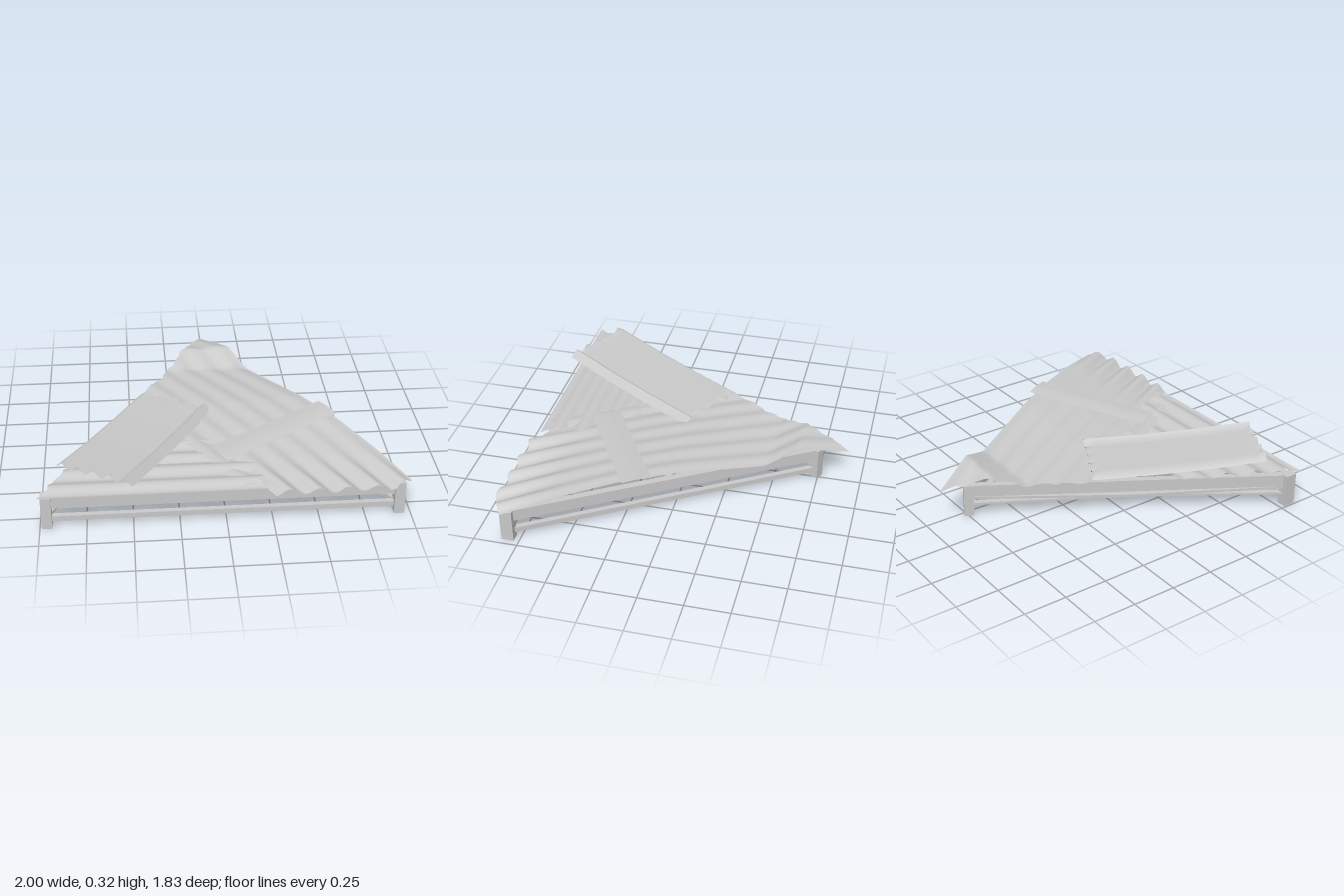
import * as THREE from 'three';

const metal = new THREE.MeshStandardMaterial({ color: 0xc8c8c8, side: THREE.DoubleSide });
metal.name = 'weatheredGrey';

const { lerp, smoothstep } = THREE.MathUtils;

// Piecewise-linear profile through [position, value] pairs
function profile(points, x) {
  if (x <= points[0][0]) return points[0][1];
  for (let i = 1; i < points.length; i++) {
    const [x0, y0] = points[i - 1], [x1, y1] = points[i];
    if (x <= x1) return lerp(y0, y1, (x - x0) / (x1 - x0));
  }
  return points[points.length - 1][1];
}

// Irregular torn edge offset
const torn = (s, size) => size * (Math.sin(s * 41) + 0.6 * Math.sin(s * 87 + 1) + 0.4 * Math.sin(s * 23 + 2));

// Thin sheet from a rule place(u, v) -> [x, y, z]
function sheet(name, nu, nv, place) {
  const pos = [], index = [];
  for (let i = 0; i <= nu; i++) {
    for (let j = 0; j <= nv; j++) {
      pos.push(...place(i / nu, j / nv));
      if (i < nu && j < nv) {
        const a = i * (nv + 1) + j, b = a + nv + 1;
        index.push(a, a + 1, b, b, a + 1, b + 1);
      }
    }
  }
  const geo = new THREE.BufferGeometry();
  geo.setAttribute('position', new THREE.Float32BufferAttribute(pos, 3));
  geo.setIndex(index);
  geo.computeVertexNormals();
  const mesh = new THREE.Mesh(geo, metal);
  mesh.name = name;
  return mesh;
}

// Straight timber between two points
function timber(name, from, to, height, depth) {
  const a = new THREE.Vector3(...from), b = new THREE.Vector3(...to);
  const mesh = new THREE.Mesh(new THREE.BoxGeometry(depth, height, a.distanceTo(b)), metal);
  mesh.position.copy(a).lerp(b, 0.5);
  mesh.lookAt(b);
  mesh.name = name;
  return mesh;
}

// Left edge of the triangular roof
const leftEdge = (z) => -1 + (0.85 - z) * 0.554;

// Roof coordinates: t runs along the right edge from the rear tip, n runs inward
const TIP = [-0.02, -0.92];
const roofX = (t, n) => TIP[0] + 0.503 * t - 0.864 * n;
const roofZ = (t, n) => TIP[1] + 0.864 * t + 0.503 * n;
const bulge = [[-0.92, 0.2], [-0.65, 0.278], [-0.48, 0.205], [-0.4, 0.215], [0, 0.268], [0.28, 0.274], [0.6, 0.243], [0.9, 0.2]];

function buildFrame() {
  const frame = new THREE.Group();
  frame.name = 'frame';
  const L = [-0.962, 0.815], R = [0.938, 0.815], B = [-0.02, -0.735];

  // Corner posts
  [[L, 0, 'frontRightPost'], [R, 0, 'frontLeftPost'], [B, -0.45, 'rearPost']].forEach(([p, turn, name]) => {
    const post = new THREE.Mesh(new THREE.BoxGeometry(0.056, 0.19, turn ? 0.056 : 0.07), metal);
    post.position.set(p[0], 0.095, p[1]);
    post.rotation.y = turn;
    post.name = name;
    frame.add(post);
  });

  // Top beams
  [[L, R], [R, B], [B, L]].forEach(([p, q]) =>
    frame.add(timber('topBeam', [p[0], 0.154, p[1]], [q[0], 0.154, q[1]], 0.07, 0.04)));

  // Lower rails on the front and one side
  [[L, R], [R, B]].forEach(([p, q]) =>
    frame.add(timber('lowerRail', [p[0], 0.05, p[1]], [q[0], 0.05, q[1]], 0.03, 0.03)));

  // Shallow crossed braces on the other side
  frame.add(timber('crossBrace', [L[0], 0.068, L[1]], [B[0], 0.11, B[1]], 0.014, 0.035));
  frame.add(timber('crossBrace', [L[0], 0.11, L[1]], [B[0], 0.068, B[1]], 0.014, 0.035));

  // Joist across the middle
  frame.add(timber('joist', [-0.5, 0.165, 0.04], [0.46, 0.165, 0.04], 0.035, 0.035));
  return frame;
}

function buildRoof() {
  const roof = new THREE.Group();
  roof.name = 'roof';

  // Large warped sheet, curling up along its outer edge and sagging inward
  roof.add(sheet('largeSheet', 70, 60, (u, v) => {
    const n = 0.68 * v;
    const start = 0.596 * n + (torn(n, 0.009) + 0.012) * Math.min(1, n * 8);
    const zEnd = 0.9 - 0.07 * Math.max(0, 1 - n / 0.12);
    const end = (zEnd + 0.92 - 0.503 * n) / 0.864 + torn(n + 2, 0.006) * Math.min(1, n * 8);
    const t = lerp(start, end, u);
    const x = roofX(t, n), z = roofZ(t, n);
    const lift = (profile(bulge, z) - 0.2) * (1 - 0.75 * v);
    const wave = 0.005 + 0.013 * smoothstep(z, 0.5, 0.9);
    return [x, 0.203 + lift - wave * Math.cos(n * 2 * Math.PI / 0.136), z];
  }));

  // Narrow torn sheet tucked below it
  roof.add(sheet('middleSheet', 40, 20, (u, v) => {
    const n = lerp(0.6, 0.8, v) + (v === 1 ? torn(u, 0.008) : 0);
    const end = (0.83 + 0.92 - 0.503 * n) / 0.864 + torn(n, 0.012);
    const t = lerp(0.596 * n, end, u);
    return [roofX(t, n), 0.211 - 0.005 * Math.cos(n * 2 * Math.PI / 0.136), roofZ(t, n)];
  }));

  // Two sheets laid across the front
  [[0.58, 0.87, 0.2, 0.215], [0.26, 0.62, -0.05, 0.203]].forEach(([z0, z1, right, height]) =>
    roof.add(sheet('frontSheet', 30, 40, (u, v) => {
      const z = lerp(z0, z1, v);
      const x0 = leftEdge(z) + 0.008 + torn(z, 0.008), x1 = right + torn(z + 1, 0.02);
      return [lerp(x0, x1, u), height - 0.01 * Math.cos((z - 0.01) * 2 * Math.PI / 0.14), z];
    })));

  // Loose ridged sheet, lifted at the front, with a folded inner edge
  const rise = [[0, 0.24], [0.35, 0.252], [0.65, 0.27], [1, 0.304]];
  const loose = (u, v) => {
    const ridge = (v * 5) % 1;
    const y = profile(rise, u) + 0.036 * (0.5 - Math.abs(ridge - 0.5) * 2);
    return [-0.02 - 0.48 * u - 0.41 * v, y, 0.05 + 0.86 * u - 0.22 * v];
  };
  roof.add(sheet('looseSheet', 20, 9, (u, v) => loose(u, lerp(0.1, 1, v))));
  roof.add(sheet('looseSheetFold', 20, 1, (u, v) => loose(u, 0.1 * v)));

  // Shallow folded strip resting on the large sheet
  roof.add(sheet('patchStrip', 6, 4, (u, v) => [
    -0.06 + 0.66 * u + 0.08 * v,
    lerp(0.228, 0.281, u) + 0.008 * (1 - Math.abs(v * 2 - 1)),
    0.46 - 0.37 * u + 0.15 * v,
  ]));
  return roof;
}

export function createModel() {
  const model = new THREE.Group();
  model.name = 'collapsedShelter';
  model.add(buildFrame(), buildRoof());
  return model;
}
